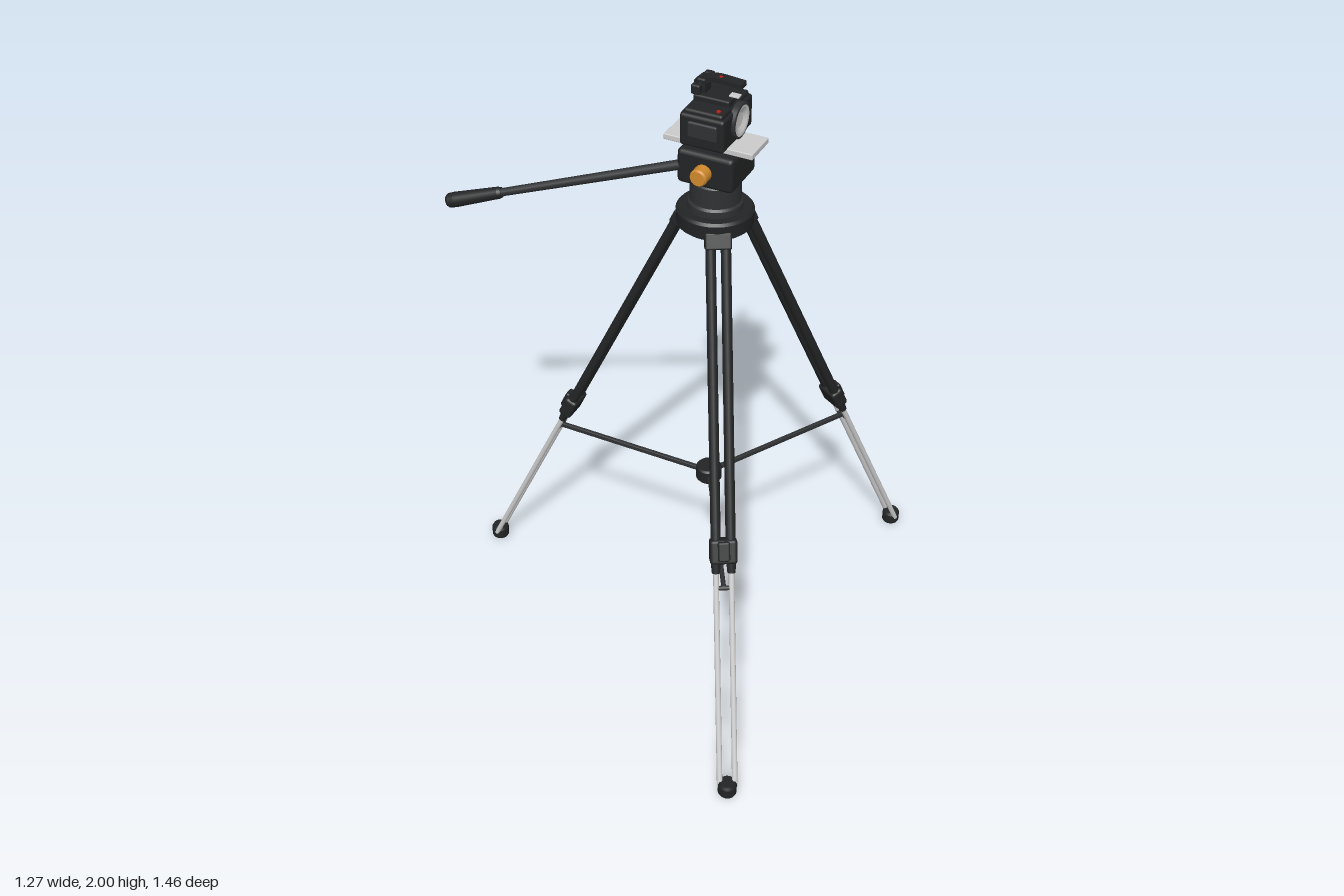
import * as THREE from 'three';
import { RoundedBoxGeometry } from 'three/addons/geometries/RoundedBoxGeometry.js';

const V = (x, y, z = 0) => new THREE.Vector3(x, y, z);
const mat = (color) => new THREE.MeshStandardMaterial({ color });
const black = mat(0x232425), dark = mat(0x2f3133), grey = mat(0xcccccc), orange = mat(0xd08a2c), red = mat(0xc02018);

function add(parent, name, geometry, material, pos = V(0, 0)) {
  const mesh = new THREE.Mesh(geometry, material);
  mesh.name = name;
  mesh.position.copy(pos);
  parent.add(mesh);
  return mesh;
}

const box = (parent, name, size, pos, material = black, r = 0.006) =>
  add(parent, name, new RoundedBoxGeometry(...size, 2, r), material, V(...pos));

// Turned shape with creased edges: each profile step is its own smooth band
function turned(profile, segments = 32) {
  const pts = [];
  profile.forEach(([r, y], i) => {
    const p = new THREE.Vector2(r, y);
    pts.push(p);
    if (i > 0 && i < profile.length - 1) pts.push(p.clone());
  });
  return new THREE.LatheGeometry(pts, segments);
}

// Turned shape laid along the line from a to b; profile is [radius, fraction of length]
function along(parent, name, a, b, profile, material, segments = 16) {
  const length = a.distanceTo(b);
  const mesh = add(parent, name, turned(profile.map(([r, t]) => [r, t * length]), segments), material, a);
  mesh.quaternion.setFromUnitVectors(V(0, 1), b.clone().sub(a).normalize());
  return mesh;
}
const rod = (parent, name, a, b, r, material) => along(parent, name, a, b, [[0, 0], [r, 0], [r, 1], [0, 1]], material);

// One leg, leaning out along +x, with its spreader arm
function makeLeg() {
  const leg = new THREE.Group();
  leg.name = 'leg';
  const top = V(0.092, 1.56), foot = V(0.807, 0.025);
  const at = (t, z = 0) => top.clone().lerp(foot, t).setZ(z);
  for (const s of [-1, 1]) {
    rod(leg, 'upperTube', at(0, s * 0.022), at(0.57, s * 0.022), 0.015, black);
    rod(leg, 'lowerTube', at(0.54, s * 0.023), at(1, s * 0.023), 0.0085, grey);
    // Socket where each lower tube slides out
    along(leg, 'tubeSocket', at(0.575, s * 0.023), at(0.602, s * 0.023),
      [[0, 0], [0.016, 0], [0.012, 1], [0, 1]], black);
  }
  const tilt = Math.atan2(foot.x - top.x, top.y - foot.y);
  const clamp = new THREE.Group();
  clamp.name = 'legClamp';
  clamp.position.copy(at(0.562));
  clamp.rotation.z = tilt;
  leg.add(clamp);
  box(clamp, 'clampBody', [0.044, 0.075, 0.082], [0, 0, 0], black, 0.01);
  box(clamp, 'clampLever', [0.016, 0.06, 0.036], [0.024, 0.004, 0], black);
  const hinge = box(leg, 'hinge', [0.034, 0.05, 0.078], at(0.02).toArray());
  hinge.rotation.z = tilt;

  // Rubber foot
  const rubber = add(leg, 'foot', turned([[0, 0], [0.026, 0], [0.029, 0.006], [0.029, 0.036], [0.024, 0.045], [0, 0.045]], 24), black, V(0.807, 0));
  rubber.scale.z = 1;

  // Spreader arm and its pivot pin
  box(leg, 'spreaderArm', [0.51, 0.016, 0.013], [0.288, 0.592, 0], dark, 0.003);
  rod(leg, 'spreaderPin', V(0.541, 0.592, -0.026), V(0.541, 0.592, 0.026), 0.007, dark);
  return leg;
}

// Pan head with plate, knobs and handle
function makeHead() {
  const head = new THREE.Group();
  head.name = 'panHead';
  add(head, 'shoulder', turned([[0, 1.525], [0.1, 1.525], [0.112, 1.535], [0.114, 1.578], [0.107, 1.586], [0, 1.586]], 48), black);
  add(head, 'panBase', turned([[0.081, 1.584], [0.081, 1.606], [0.075, 1.613], [0.075, 1.675], [0.068, 1.685], [0, 1.685]], 40), dark);
  box(head, 'tiltBlock', [0.174, 0.108, 0.164], [0, 1.735, 0], black, 0.014);
  box(head, 'mountPlate', [0.274, 0.018, 0.112], [-0.003, 1.801, 0], grey, 0.003);
  const knob = [[0, 0], [0.018, 0], [0.018, 0.25], [0.026, 0.3], [0.026, 0.9], [0.022, 1], [0, 1]];
  along(head, 'tiltKnob', V(0, 1.735, 0.07), V(0, 1.735, 0.126), knob, orange, 20);
  along(head, 'panKnob', V(0, 1.642, -0.06), V(0, 1.642, -0.112), knob.map(([r, t]) => [r * 0.82, t]), orange, 20);

  // Handle
  const a = V(-0.06, 1.738, 0.062), b = V(-0.762, 1.518, 0.235);
  const h = (t) => a.clone().lerp(b, t);
  along(head, 'handleRod', h(0), h(0.8), [[0, 0], [0.015, 0], [0.012, 1], [0, 1]], dark);
  along(head, 'handleGrip', h(0.765), h(1),
    [[0, 0], [0.015, 0], [0.018, 0.06], [0.023, 0.85], [0.022, 0.96], [0.017, 1], [0, 1]], black, 20);
  return head;
}

// Small video camera, lens toward +x
function makeCamera() {
  const cam = new THREE.Group();
  cam.name = 'videoCamera';
  box(cam, 'body', [0.136, 0.1, 0.196], [-0.004, 1.863, 0], black, 0.01);
  box(cam, 'bodyTop', [0.118, 0.025, 0.18], [-0.004, 1.913, 0], black, 0.008);
  box(cam, 'bodyRear', [0.02, 0.08, 0.15], [-0.068, 1.865, 0], dark);
  box(cam, 'sidePod', [0.09, 0.05, 0.016], [0, 1.87, 0.096], dark);

  // Lens: rim and shallow recessed glass
  along(cam, 'lensRim', V(0.055, 1.873, -0.005), V(0.074, 1.873, -0.005),
    [[0.053, 0], [0.053, 0.9], [0.05, 1], [0.046, 1]], dark, 40);
  along(cam, 'lensFace', V(0.055, 1.873, -0.005), V(0.074, 1.873, -0.005),
    [[0.047, 1], [0.038, 0.95], [0.022, 0.55], [0, 0.5]], grey, 40);

  // Fold-out screen
  box(cam, 'screen', [0.012, 0.068, 0.085], [-0.072, 1.874, -0.128], black, 0.004);
  rod(cam, 'screenHinge', V(-0.07, 1.842, -0.09), V(-0.07, 1.906, -0.09), 0.009, dark);

  // Top handle: post, ears and curved grip
  box(cam, 'handleBase', [0.11, 0.022, 0.07], [-0.005, 1.932, 0]);
  box(cam, 'handlePost', [0.028, 0.06, 0.044], [-0.044, 1.957, 0], black);
  rod(cam, 'crossBar', V(-0.046, 1.966, -0.05), V(-0.046, 1.966, 0.05), 0.009, dark);
  for (const s of [-1, 1]) box(cam, 'ear', [0.028, 0.03, 0.02], [-0.046, 1.966, s * 0.043]);
  const profile = new THREE.Shape();
  profile.moveTo(-0.066, 1.966);
  profile.lineTo(-0.066, 1.976);
  profile.quadraticCurveTo(-0.03, 2.0, 0.02, 1.996);
  profile.lineTo(0.076, 1.992);
  profile.lineTo(0.078, 1.978);
  profile.lineTo(0.01, 1.983);
  profile.quadraticCurveTo(-0.02, 1.984, -0.035, 1.966);
  const grip = new THREE.ExtrudeGeometry(profile, { depth: 0.034, bevelEnabled: false, curveSegments: 8 });
  add(cam, 'handleGrip', grip, black, V(0, 0, -0.017));
  box(cam, 'shoe', [0.03, 0.006, 0.022], [0.05, 1.945, -0.005], grey, 0.002);
  rod(cam, 'handleButton', V(0.01, 1.99, 0.004), V(0.01, 1.9985, 0.004), 0.005, red);
  rod(cam, 'recordButton', V(0.035, 1.92, 0.07), V(0.035, 1.929, 0.07), 0.006, red);
  return cam;
}

export function createModel() {
  const model = new THREE.Group();
  model.name = 'cameraTripod';
  const tripod = new THREE.Group();
  tripod.name = 'tripod';
  tripod.position.x = 0.2;
  model.add(tripod);

  for (const angle of [Math.PI, Math.PI / 3, -Math.PI / 3]) {
    const leg = makeLeg();
    leg.rotation.y = angle;
    tripod.add(leg);
  }
  add(tripod, 'spreaderHub', turned([[0, 0.567], [0.036, 0.567], [0.041, 0.573], [0.041, 0.612], [0.036, 0.618], [0, 0.618]], 24), black);
  tripod.add(makeHead(), makeCamera());
  return model;
}
